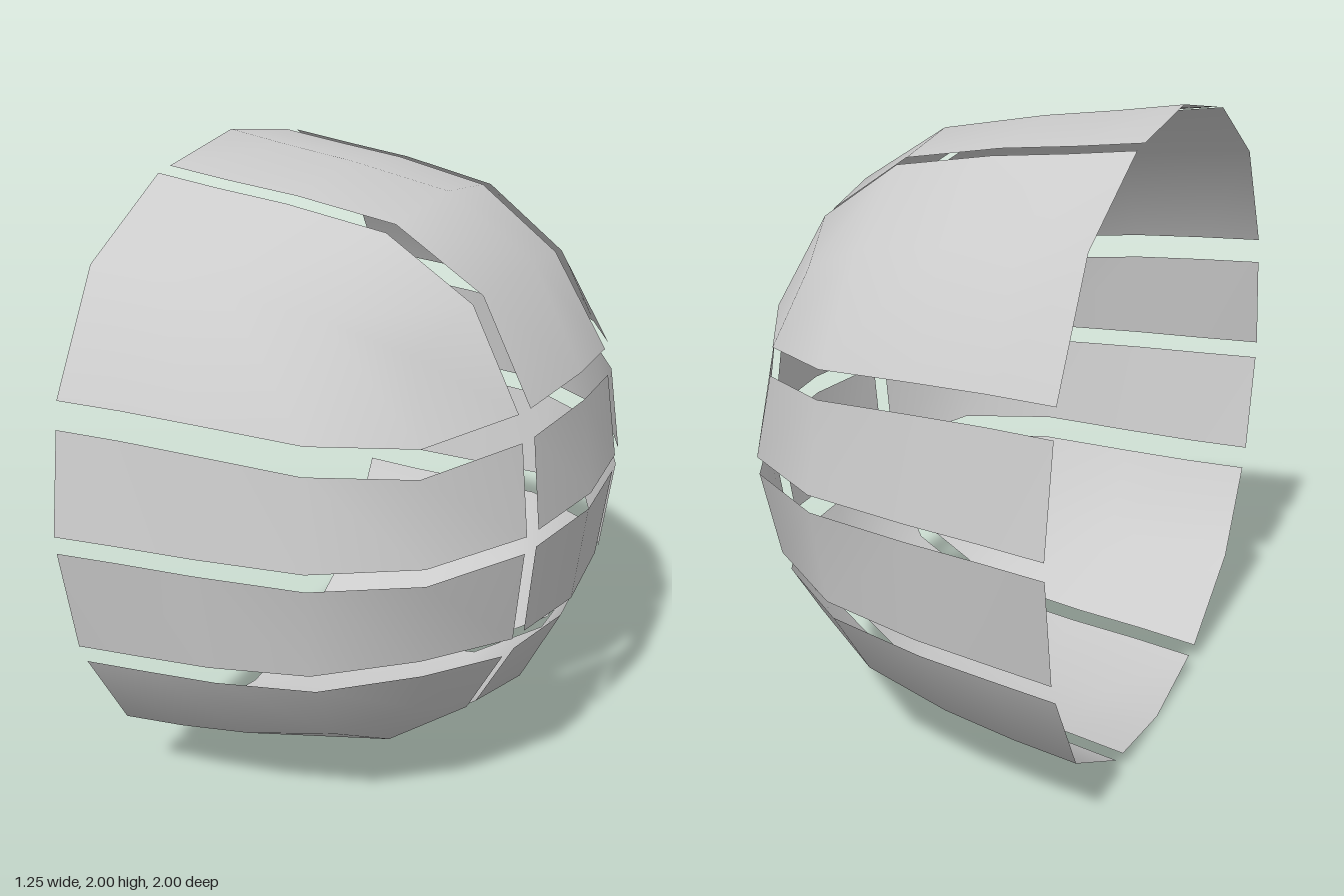
import * as THREE from 'three';
import { mergeVertices } from 'three/addons/utils/BufferGeometryUtils.js';

// Half shell on a cube-sphere lattice. Levels 0..4 run from the open rim to the
// edge of the end face; lattice steps 0, 1, 2 run from an axis to the diagonal.
const MID = [[-0.63, 1], [-0.43, 0.97], [-0.2, 0.94], [0.13, 0.88], [0.41, 0.7]];
const SEAM = [[-0.63, 0.935, 0.395], [-0.43, 0.91, 0.39], [-0.2, 0.885, 0.38], [0.11, 0.83, 0.355], [0.37, 0.65, 0.33]];
const DIAGONAL = [[-0.63, 0.74], [-0.43, 0.725], [-0.2, 0.7], [0.08, 0.65], [0.3, 0.55]];

// Drop of the surface when a seam edge is shifted to open a gap
const drop = ([step, shift]) => step === 0 ? 0.1 * Math.abs(shift) : shift * (shift > 0 ? 0.5 : 0.17);
const along = ([step, shift], seam) => step === 0 ? shift : Math.sign(step) * (seam + shift);

// Lattice node to a point; y and z are [signed step, gap shift]
function node(level, y, z) {
  const a = Math.abs(y[0]), b = Math.abs(z[0]);
  const sy = Math.sign(y[0]), sz = Math.sign(z[0]);
  if (a === 2 && b === 2) {
    const [x, d] = DIAGONAL[level];
    return [x, 1 + sy * d, sz * d];
  }
  if (a === 2 || b === 2) {
    const low = a === 2 ? z : y;
    const [x, high] = low[0] === 0 ? MID[level] : SEAM[level];
    const h = high - drop(low);
    const l = along(low, SEAM[level][2]);
    const px = level === 4 ? x - 0.3 * drop(low) : x;
    return a === 2 ? [px, 1 + sy * h, l] : [px, 1 + l, sz * h];
  }
  const seam = a && b ? 0.36 : 0.38;
  const x = [0.625, 0.575, 0.53][a + b] - drop(y) - drop(z);
  return [x, 1 + along(y, seam), along(z, seam)];
}

function panel(name, ys, zs, material) {
  const positions = [];
  const quad = (...corners) => {
    const [p, q, r, s] = corners.map(c => new THREE.Vector3(...c));
    const normal = r.clone().sub(p).cross(s.clone().sub(q));
    const outward = p.clone().add(r).multiplyScalar(0.5).sub(new THREE.Vector3(-0.7, 1, 0));
    const order = normal.dot(outward) > 0 ? [p, q, r, p, r, s] : [p, s, r, p, r, q];
    order.forEach(v => positions.push(v.x, v.y, v.z));
  };
  // End face part
  for (let i = 0; i + 1 < ys.length; i++) {
    for (let j = 0; j + 1 < zs.length; j++) {
      quad(node(4, ys[i], zs[j]), node(4, ys[i + 1], zs[j]), node(4, ys[i + 1], zs[j + 1]), node(4, ys[i], zs[j + 1]));
    }
  }
  // Side walls back to the open rim
  const wall = nodes => {
    for (let i = 0; i + 1 < nodes.length; i++) {
      for (let L = 0; L < 4; L++) {
        quad(node(L, ...nodes[i]), node(L + 1, ...nodes[i]), node(L + 1, ...nodes[i + 1]), node(L, ...nodes[i + 1]));
      }
    }
  };
  ys.filter(y => Math.abs(y[0]) === 2).forEach(y => wall(zs.map(z => [y, z])));
  zs.filter(z => Math.abs(z[0]) === 2).forEach(z => wall(ys.map(y => [y, z])));

  let geometry = new THREE.BufferGeometry();
  geometry.setAttribute('position', new THREE.Float32BufferAttribute(positions, 3));
  geometry = mergeVertices(geometry, 1e-4);
  geometry.computeVertexNormals();
  const mesh = new THREE.Mesh(geometry, material);
  mesh.name = name;
  return mesh;
}

export function createModel() {
  const group = new THREE.Group();
  group.name = 'segmentedShell';
  const material = new THREE.MeshStandardMaterial({ color: 0xcccccc, side: THREE.DoubleSide });

  // Four rows by three columns, with the gap shifts at their edges
  const rows = {
    top: [[2, 0], [1, 0]],
    upper: [[1, -0.083], [0, 0]],
    lower: [[0, -0.055], [-1, -0.007]],
    bottom: [[-1, 0.06], [-2, 0]],
  };
  const columns = {
    Front: [[2, 0], [1, 0]],
    Middle: [[1, -0.06], [0, 0], [-1, -0.06]],
    Back: [[-1, 0], [-2, 0]],
  };
  for (const [row, ys] of Object.entries(rows)) {
    for (const [column, zs] of Object.entries(columns)) {
      group.add(panel(`${row}${column}Panel`, ys, zs, material));
    }
  }
  return group;
}
